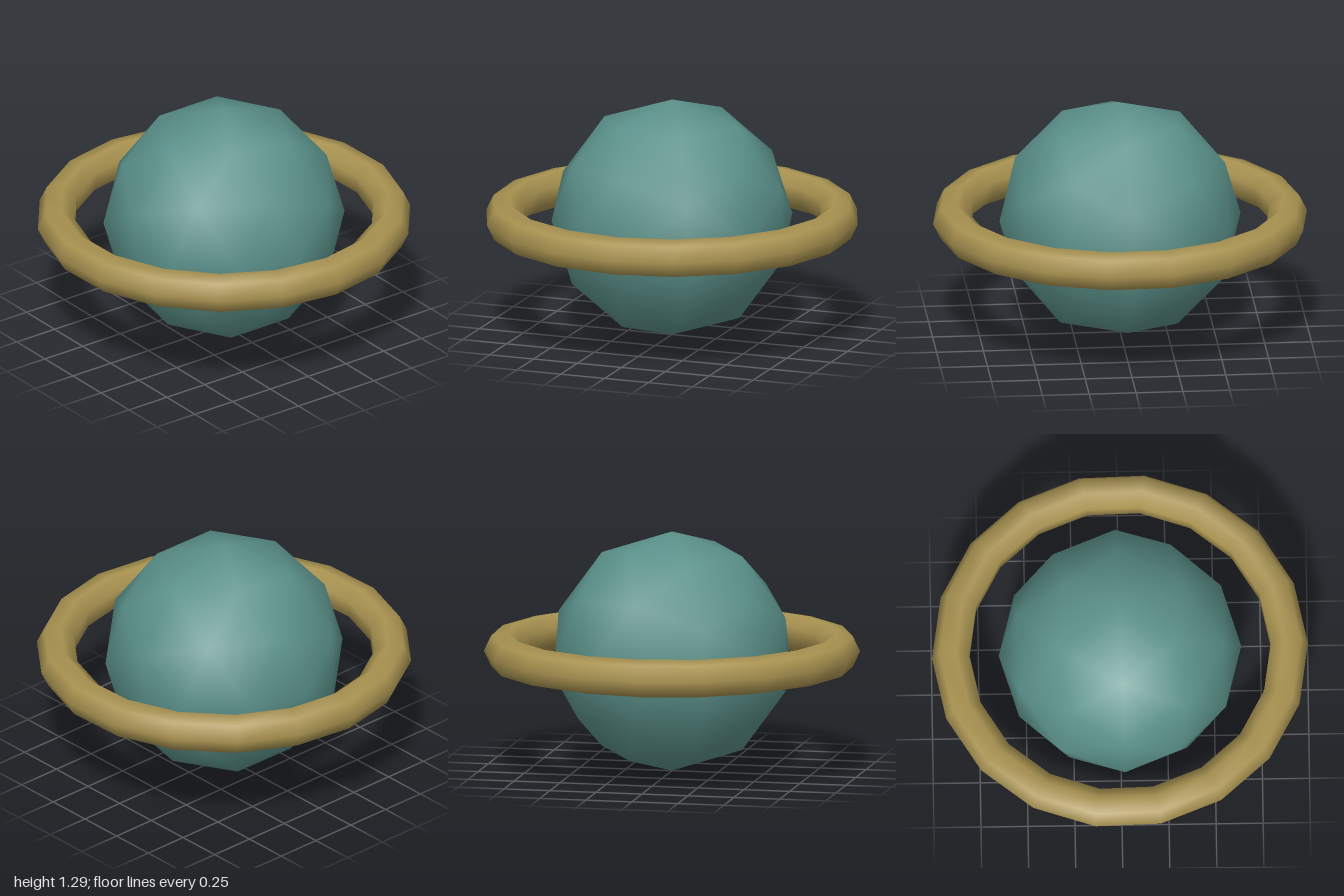
import * as THREE from 'three';

const CENTRE_Y = 0.645;

export function createModel() {
  const model = new THREE.Group();
  model.name = 'ringedPlanet';

  const addPart = (name, geometry, color, turnDegrees) => {
    geometry.rotateY(THREE.MathUtils.degToRad(turnDegrees));
    const mesh = new THREE.Mesh(geometry, new THREE.MeshStandardMaterial({ color }));
    mesh.name = name;
    mesh.position.y = CENTRE_Y;
    model.add(mesh);
  };

  // Globe: coarse icosphere with smooth normals, resting on an edge midpoint
  addPart('globe', new THREE.IcosahedronGeometry(0.645, 1), 0x5b918a, 60);

  // Ring: flat-lying low-poly torus with a seven-sided tube
  const ring = new THREE.TorusGeometry(0.896, 0.104, 7, 18).rotateX(Math.PI / 2);
  addPart('ring', ring, 0xa89250, -8.28);

  return model;
}
